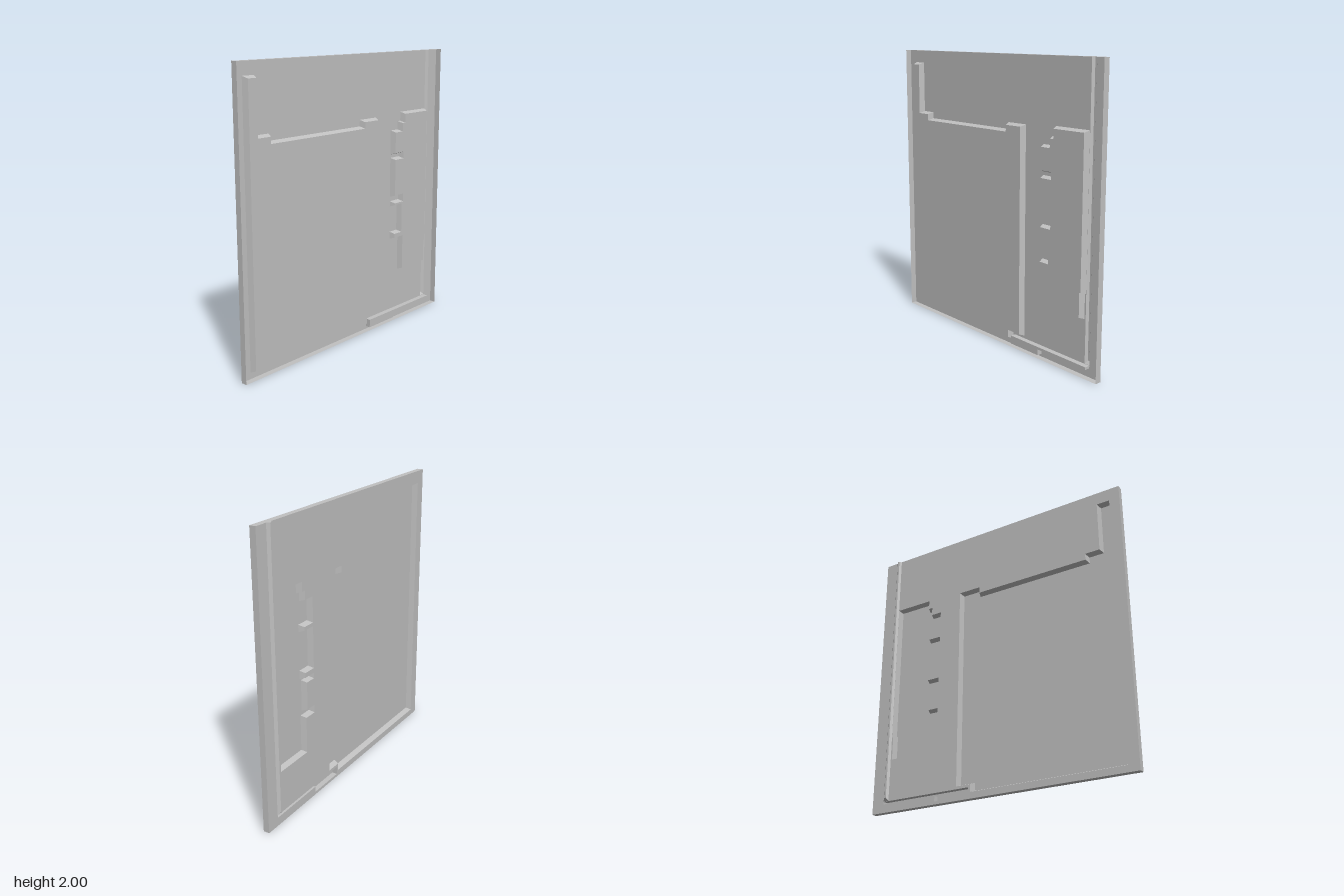
import * as THREE from 'three';

const SHEET = -0.013, FRONT = 0.03, FLOOR = 0.025, RIDGE = -0.03;
const v2 = (pts) => pts.map(([x, y]) => new THREE.Vector2(x, y));

// Shift every corner of a counter-clockwise right-angled outline inwards by d
function inset(pts, d) {
  const n = pts.length;
  const normal = (a, b) => {
    const l = Math.hypot(b[0] - a[0], b[1] - a[1]);
    return [-(b[1] - a[1]) / l, (b[0] - a[0]) / l];
  };
  return pts.map((p, i) => {
    const a = normal(pts[(i + n - 1) % n], p), b = normal(p, pts[(i + 1) % n]);
    return [p[0] + (a[0] + b[0]) * d, p[1] + (a[1] + b[1]) * d];
  });
}

// Flat quads, each given by four corners
function quads(list) {
  const pos = [];
  for (const [a, b, c, d] of list) pos.push(...a, ...b, ...c, ...a, ...c, ...d);
  const g = new THREE.BufferGeometry();
  g.setAttribute('position', new THREE.Float32BufferAttribute(pos, 3));
  g.computeVertexNormals();
  return g;
}

// Walls joining outline a at depth za to outline b at depth zb
function walls(a, za, b, zb) {
  return quads(a.map((p, i) => {
    const j = (i + 1) % a.length;
    return [[...p, za], [...a[j], za], [...b[j], zb], [...b[i], zb]];
  }));
}

export function createModel() {
  const group = new THREE.Group();
  const grey = new THREE.MeshStandardMaterial({ color: 0xc0c0c0, side: THREE.DoubleSide });
  grey.name = 'panelGrey';
  const add = (name, geometry, z = 0) => {
    const m = new THREE.Mesh(geometry, grey);
    m.name = name;
    m.position.z = z;
    group.add(m);
  };

  // Pressed areas: outline on the sheet and inward slope of the walls
  const pockets = [
    { name: 'largePocket', slope: 0.014, pts: [
      [-0.925, 0.045], [0.185, 0.045], [0.185, 0.097], [0.295, 0.097], [0.295, 1.55], [0.125, 1.55],
      [0.125, 1.505], [-0.725, 1.505], [-0.725, 1.55], [-0.832, 1.55], [-0.832, 1.91], [-0.925, 1.91]] },
    { name: 'notchedPocket', slope: 0.013, pts: [
      [0.56, 0.375], [0.852, 0.375], [0.852, 0.54], [0.862, 0.54], [0.862, 1.565], [0.575, 1.565],
      [0.575, 1.5], [0.545, 1.5], [0.545, 1.44], [0.465, 1.44], [0.465, 1.264], [0.56, 1.264],
      [0.56, 1.24], [0.465, 1.24], [0.465, 0.95], [0.56, 0.95], [0.56, 0.917], [0.465, 0.917],
      [0.465, 0.878], [0.545, 0.878], [0.545, 0.685], [0.465, 0.685], [0.465, 0.63], [0.56, 0.63]] },
    { name: 'bottomChannel', slope: 0, pts: [
      [0.2, 0.02], [0.47, 0.02], [0.47, 0.06], [0.904, 0.06], [0.904, 0.078], [0.2, 0.078]] },
  ];

  // Back sheet with openings and a slot for the ridge
  const sheet = new THREE.Shape(v2([
    [-1, 0], [1, 0], [1, 2], [0.905, 2], [0.905, 0.08], [0.863, 0.08], [0.863, 2], [-1, 2]]));
  for (const p of pockets) sheet.holes.push(new THREE.Path(v2(p.pts)));
  add('backSheet', new THREE.ShapeGeometry(sheet), SHEET);

  // Pocket walls and floors
  for (const { name, slope, pts } of pockets) {
    const inner = inset(pts, slope);
    add(name + 'Walls', walls(pts, SHEET, inner, FLOOR));
    add(name + 'Floor', new THREE.ShapeGeometry(new THREE.Shape(v2(inner))), FLOOR);
  }

  // Rim standing forward of the sheet
  const rim = [[-1, 0], [1, 0], [1, 2], [-1, 2]];
  add('outerRim', walls(rim, SHEET, rim, FRONT));

  // Hollow vertical ridge with a sloped lower end and a capped top
  const [x0, x1, x2, x3] = [0.863, 0.874, 0.889, 0.905];
  const low = (x) => [x, 0.08, SHEET], high = (x) => [x, 0.1, RIDGE];
  add('ridge', quads([
    [low(x0), high(x1), [x1, 2, RIDGE], [x0, 2, SHEET]],
    [high(x1), high(x2), [x2, 2, RIDGE], [x1, 2, RIDGE]],
    [high(x2), low(x3), [x3, 2, SHEET], [x2, 2, RIDGE]],
    [low(x0), low(x3), high(x2), high(x1)],
    [[x0, 2, SHEET], [x3, 2, SHEET], [x2, 2, RIDGE], [x1, 2, RIDGE]],
  ]));
  return group;
}
